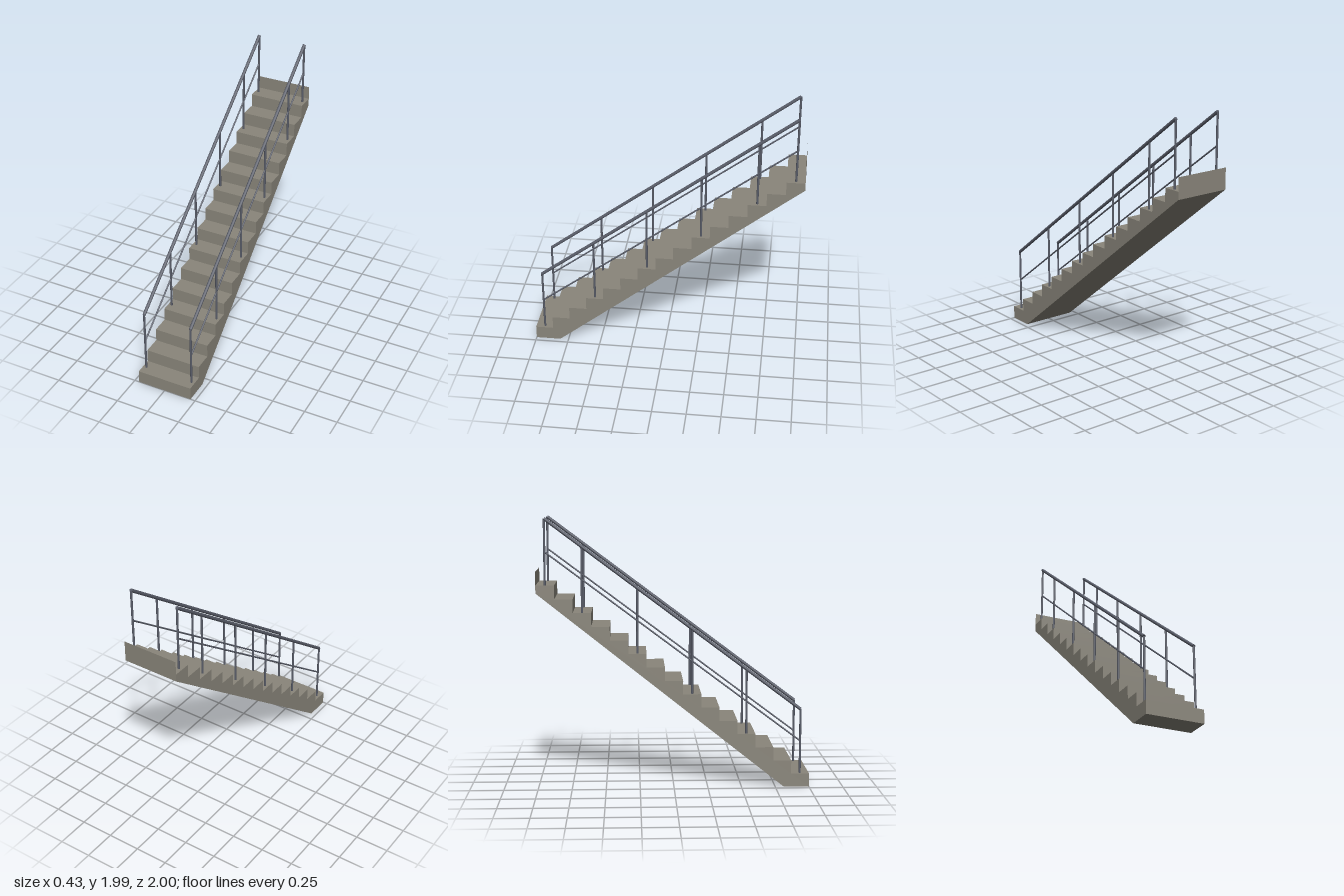
import * as THREE from 'three';

const STEPS = 15, RISE = 0.1, RUN = 2 / STEPS, WIDTH = 0.426;
const RAIL_X = 0.187, RAIL_HEIGHT = 0.48, MID_HEIGHT = 0.242;

export function createModel() {
  const concrete = new THREE.MeshStandardMaterial({ color: 0x8a867b, side: THREE.DoubleSide });
  concrete.name = 'concrete';
  const steel = new THREE.MeshStandardMaterial({ color: 0x5a5e6a });
  steel.name = 'steel';

  const model = new THREE.Group();
  model.name = 'staircase';

  // Stepped flight with sloping underside: side profile (u = -z, y) extruded across the width
  const profile = new THREE.Shape();
  profile.moveTo(-1, 0);
  for (let i = 0; i < STEPS; i++) {
    profile.lineTo(-1 + i * RUN, (i + 1) * RISE);
    profile.lineTo(-1 + (i + 1) * RUN, (i + 1) * RISE);
  }
  profile.lineTo(1, 1.443);
  profile.lineTo(-0.814, 0);
  profile.closePath();
  const flightGeometry = new THREE.ExtrudeGeometry(profile, { depth: WIDTH, bevelEnabled: false });
  flightGeometry.translate(0, 0, -WIDTH / 2).rotateY(Math.PI / 2);
  const flight = new THREE.Mesh(flightGeometry, concrete);
  flight.name = 'flight';
  model.add(flight);

  // Last riser, standing above the top tread at the back edge
  const topRiser = new THREE.Mesh(new THREE.PlaneGeometry(WIDTH, RISE), concrete);
  topRiser.name = 'topRiser';
  topRiser.position.set(0, (STEPS + 0.5) * RISE, -1);
  model.add(topRiser);

  // Round bar between two points
  const bar = (name, from, to, radius) => {
    const mesh = new THREE.Mesh(new THREE.CylinderGeometry(radius, radius, from.distanceTo(to), 10), steel);
    mesh.name = name;
    mesh.position.lerpVectors(from, to, 0.5);
    mesh.quaternion.setFromUnitVectors(new THREE.Vector3(0, 1, 0), to.clone().sub(from).normalize());
    return mesh;
  };

  // Point above the middle of a tread
  const above = (x, step, height) =>
    new THREE.Vector3(x, (step + 1) * RISE + height, 1 - (step + 0.5) * RUN);

  // Railing on each side: posts, handrail and middle rail
  for (const [name, x] of [['leftRailing', RAIL_X], ['rightRailing', -RAIL_X]]) {
    const railing = new THREE.Group();
    railing.name = name;
    for (const step of [0, 3, 6, 9, 12, 14]) {
      railing.add(bar('post', above(x, step, 0), above(x, step, RAIL_HEIGHT), 0.008));
    }
    const last = STEPS - 1;
    railing.add(bar('handrail', above(x, 0, RAIL_HEIGHT), above(x, last, RAIL_HEIGHT), 0.012));
    railing.add(bar('middleRail', above(x, 0, MID_HEIGHT), above(x, last, MID_HEIGHT), 0.006));
    model.add(railing);
  }
  return model;
}
